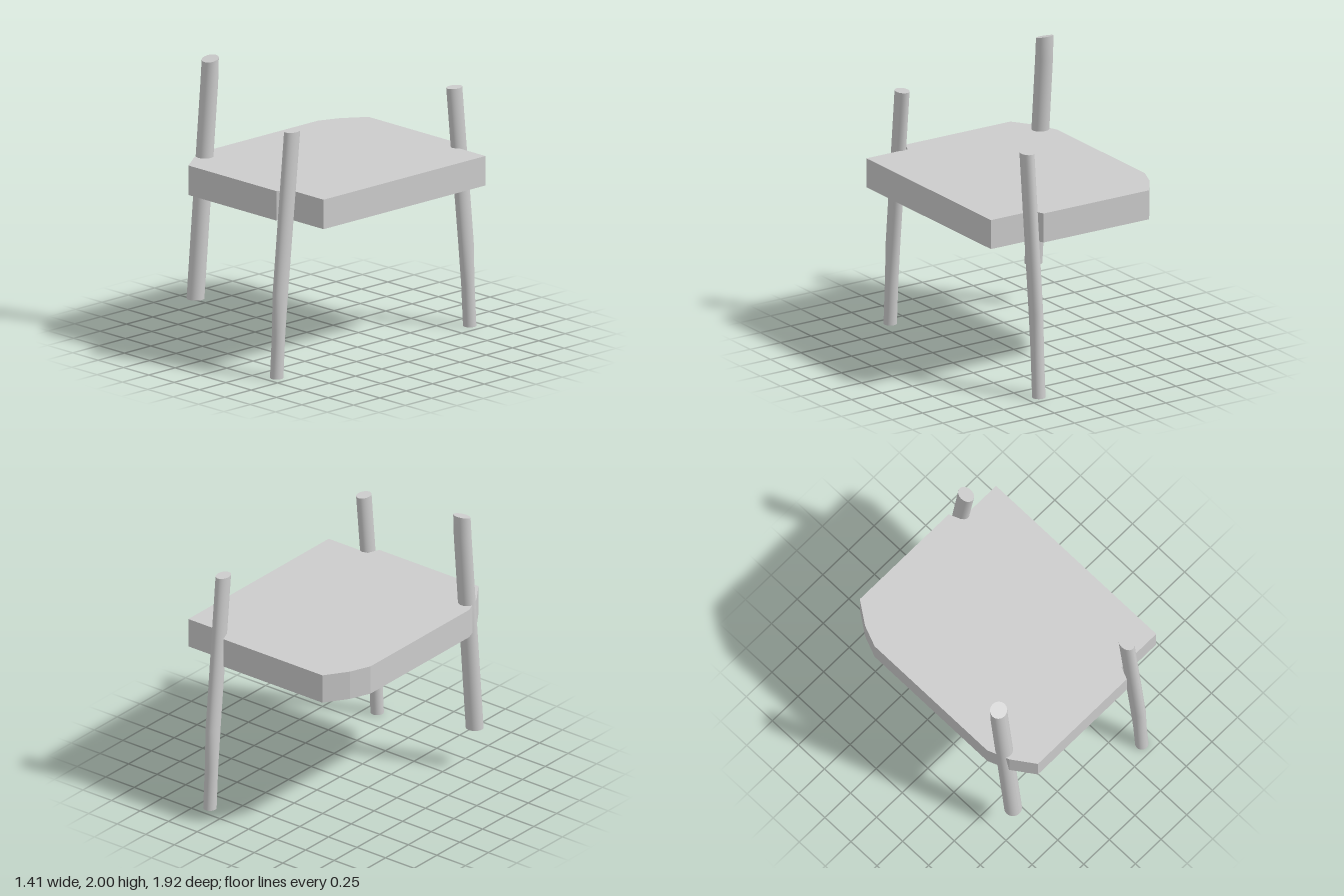
import * as THREE from 'three';

const grey = new THREE.MeshStandardMaterial({ color: 0xcccccc });
grey.name = 'plain grey';

// Leg lofted through elliptical sections, listed from bottom to top:
// [z at front edge, y at front edge, z at back edge, y at back edge]
function makeLeg(name, x, radius, sections) {
  const n = sections.length - 1;
  const geometry = new THREE.CylinderGeometry(1, 1, n, 32, n);
  const p = geometry.attributes.position;
  for (let i = 0; i < p.count; i++) {
    const [zf, yf, zb, yb] = sections[Math.round(p.getY(i) + n / 2)];
    const t = (p.getZ(i) + 1) / 2;
    p.setXYZ(i, x + p.getX(i) * radius, yb + (yf - yb) * t, zb + (zf - zb) * t);
  }
  geometry.computeVertexNormals();
  const mesh = new THREE.Mesh(geometry, grey);
  mesh.name = name;
  return mesh;
}

export function createModel() {
  const group = new THREE.Group();
  group.name = 'chair';

  // Seat slab: chamfered corners at one end, stepped in at the other
  const outline = [
    [-0.71, -0.55], [-0.65, -0.7], [-0.537, -0.863], [0.33, -0.863],
    [0.365, -0.777], [0.705, -0.777], [0.705, 0.76], [0.365, 0.76],
    [0.33, 0.847], [-0.537, 0.847], [-0.65, 0.685], [-0.71, 0.53],
  ];
  const shape = new THREE.Shape(outline.map(([x, z]) => new THREE.Vector2(x, -z)));
  const slab = new THREE.ExtrudeGeometry(shape, { depth: 0.21, bevelEnabled: false });
  slab.rotateX(-Math.PI / 2).translate(0, 1.09, 0);
  const seat = new THREE.Mesh(slab, grey);
  seat.name = 'seat';
  group.add(seat);

  // Tall pair of bent legs, mirrored in z: [y, outer z, inner z]
  const profile = [
    [0, 0.962, 0.87], [0.3, 0.945, 0.853], [0.6, 0.94, 0.822], [1.73, 0.832, 0.707],
  ];
  group.add(makeLeg('frontLeg', 0.405, 0.046,
    profile.map(([y, outer, inner]) => [outer, y, inner, y])));
  group.add(makeLeg('backLeg', 0.405, 0.046,
    profile.map(([y, outer, inner]) => [-inner, y, -outer, y])));

  // Thicker side post with a slanted top
  group.add(makeLeg('sidePost', -0.625, 0.062, [
    [0.756, 0.305, 0.635, 0.305],
    [0.624, 1.82, 0.505, 1.82],
    [0.611, 1.97, 0.5, 2],
  ]));

  return group;
}
